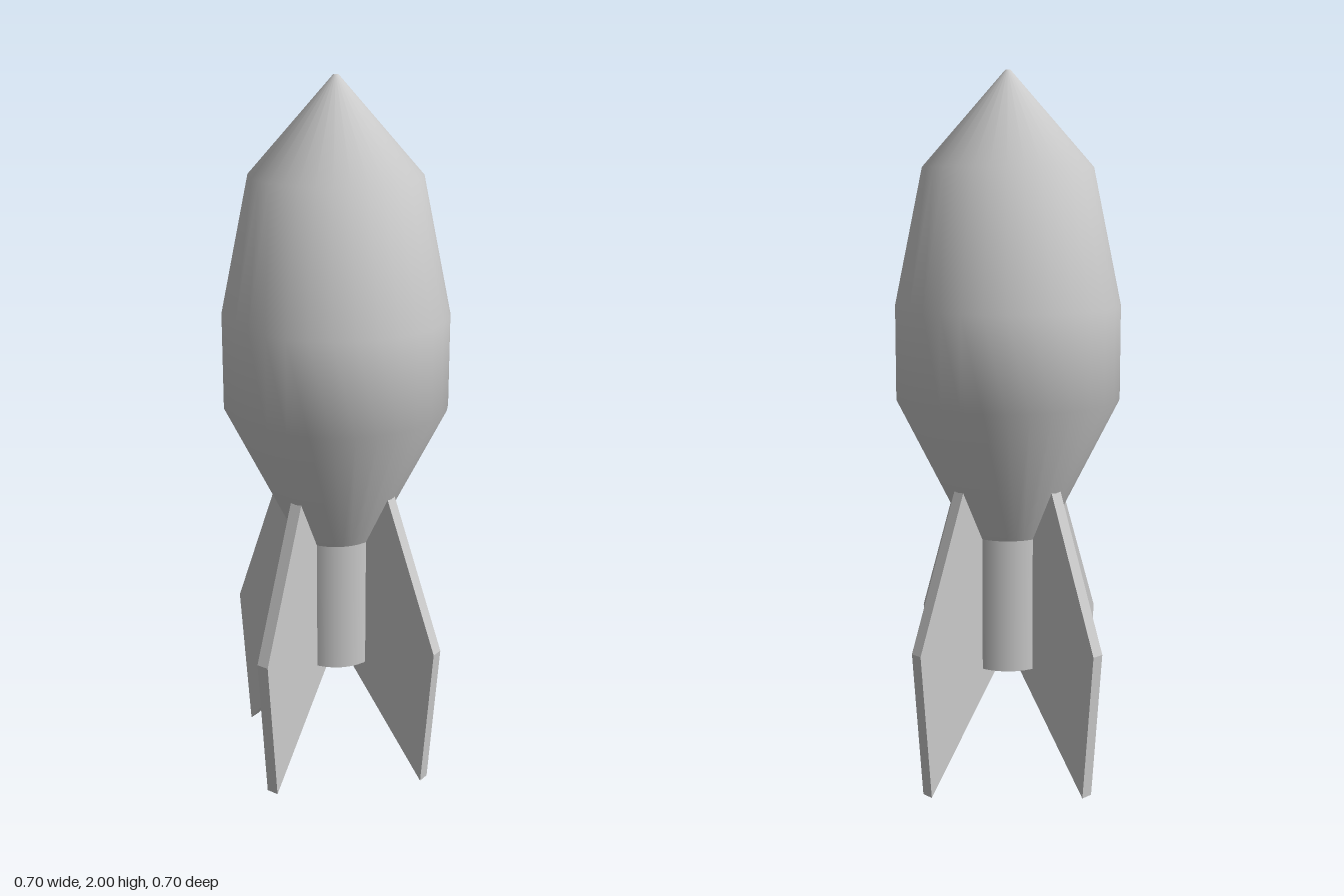
import * as THREE from 'three';

export function createModel() {
  const group = new THREE.Group();
  const material = new THREE.MeshStandardMaterial({ color: 0xcccccc });
  const add = (name, geometry) => {
    const mesh = new THREE.Mesh(geometry, material);
    mesh.name = name;
    group.add(mesh);
    return mesh;
  };

  // Hull: smooth lathe, bottom to tip
  const profile = [[0.12, 0.71], [0.316, 1.1], [0.316, 1.36], [0.237, 1.74], [0.007, 2]]
    .map(([x, y]) => new THREE.Vector2(x, y));
  add('hull', new THREE.LatheGeometry(profile, 32));

  // Small flat cap closing the tip
  const tip = add('noseTip', new THREE.CircleGeometry(0.007, 32));
  tip.rotation.x = -Math.PI / 2;
  tip.position.y = 2;

  // Engine tube under the hull
  const tube = add('engineTube', new THREE.CylinderGeometry(0.12, 0.12, 0.38, 32));
  tube.position.y = 0.52;

  // Four swept fins, rooted inside the hull and tube
  const thickness = 0.036;
  const outline = [[0.055, 0.33], [0.316, 0], [0.352, 0.42], [0.188, 0.86], [0.055, 0.8]]
    .map(([x, y]) => new THREE.Vector2(x, y));
  const finGeometry = new THREE.ExtrudeGeometry(new THREE.Shape(outline), {
    depth: thickness, bevelEnabled: false,
  });
  finGeometry.translate(0, 0, -thickness / 2);
  ['leftFin', 'frontFin', 'rightFin', 'backFin'].forEach((name, i) => {
    add(name, finGeometry).rotation.y = -i * Math.PI / 2;
  });

  return group;
}
